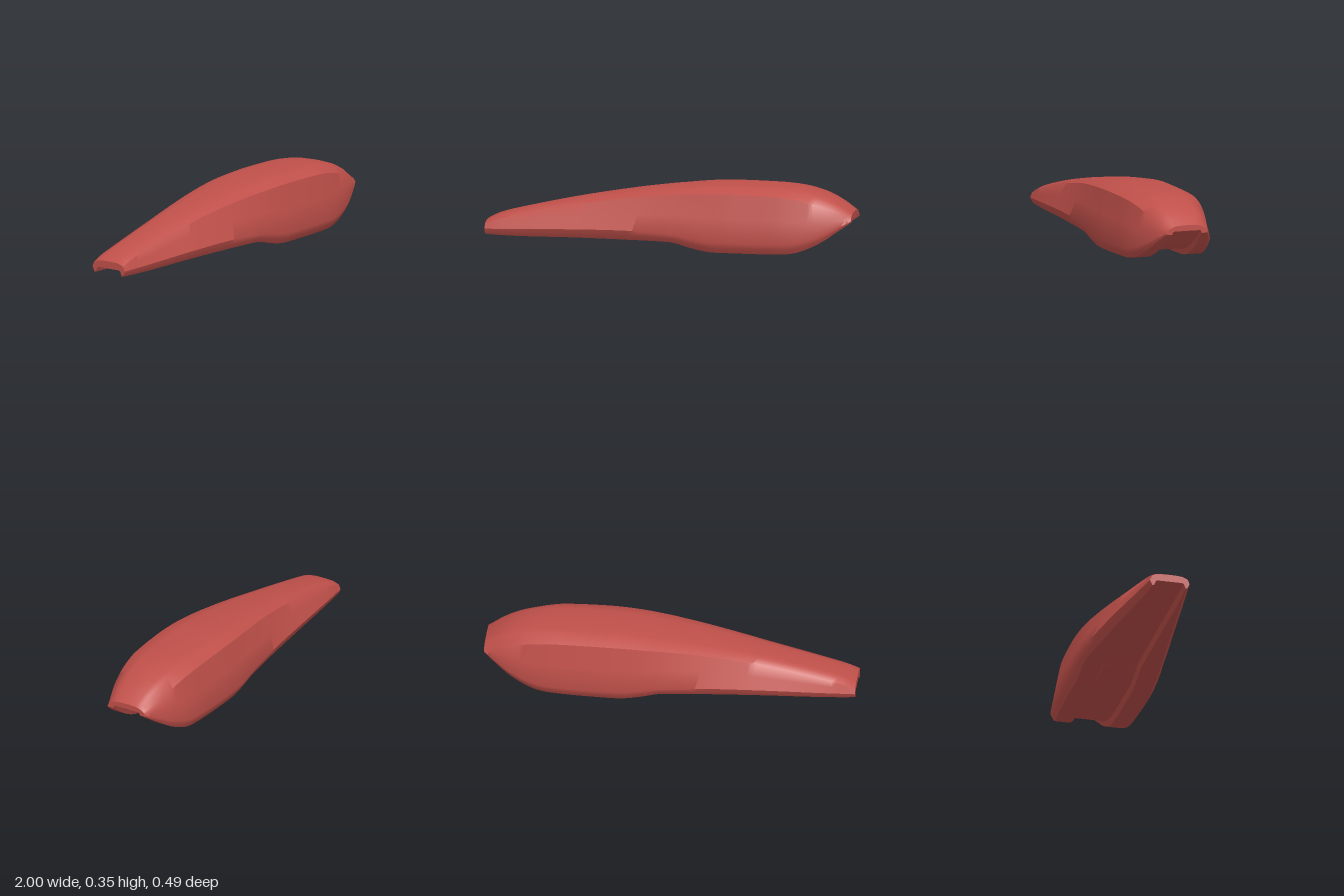
import * as THREE from 'three';
import { toCreasedNormals } from 'three/addons/utils/BufferGeometryUtils.js';

// Stations along the body:
// x, bottom, top, half width, widest height, shoulder half width, shoulder height, groove half width, groove depth
const STATIONS = [
  [-1.0, 0.043, 0.113, 0.109, 0.072, 0.098, 0.098, 0.088, 0.03],
  [-0.94, 0.040, 0.142, 0.117, 0.075, 0.100, 0.121, 0.090, 0.032],
  [-0.8, 0.040, 0.180, 0.135, 0.081, 0.103, 0.157, 0.094, 0.034],
  [-0.5, 0.048, 0.246, 0.173, 0.096, 0.117, 0.222, 0.100, 0.034],
  [-0.2, 0.051, 0.298, 0.208, 0.104, 0.146, 0.274, 0.104, 0.034],
  [0.0, 0.051, 0.325, 0.228, 0.097, 0.170, 0.298, 0.106, 0.034],
  [0.06, 0.045, 0.331, 0.232, 0.092, 0.177, 0.303, 0.106, 0.034],
  [0.14, 0.023, 0.340, 0.237, 0.078, 0.185, 0.309, 0.107, 0.034],
  [0.24, 0.004, 0.349, 0.241, 0.063, 0.191, 0.314, 0.108, 0.034],
  [0.36, 0.002, 0.353, 0.243, 0.060, 0.194, 0.316, 0.108, 0.034],
  [0.6, 0.002, 0.350, 0.235, 0.058, 0.190, 0.309, 0.107, 0.034],
  [0.7, 0.009, 0.343, 0.225, 0.062, 0.181, 0.296, 0.105, 0.034],
  [0.78, 0.035, 0.329, 0.209, 0.080, 0.170, 0.277, 0.102, 0.032],
  [0.86, 0.076, 0.304, 0.186, 0.109, 0.154, 0.253, 0.098, 0.028],
  [0.93, 0.124, 0.268, 0.157, 0.144, 0.134, 0.228, 0.093, 0.022],
  [1.0, 0.172, 0.219, 0.120, 0.179, 0.108, 0.196, 0.085, 0.016],
];

// Smooth (cubic Hermite) reading of every station value at x
function sample(x) {
  const S = STATIONS, last = S.length - 1;
  let i = 0;
  while (i < last - 1 && x > S[i + 1][0]) i++;
  const h = S[i + 1][0] - S[i][0], t = (x - S[i][0]) / h;
  const slope = (n, k) => {
    const a = S[Math.max(n - 1, 0)], b = S[Math.min(n + 1, last)];
    return (b[k] - a[k]) / (b[0] - a[0]);
  };
  return S[i].map((v, k) => {
    const t2 = t * t, t3 = t2 * t;
    return (2 * t3 - 3 * t2 + 1) * v + (t3 - 2 * t2 + t) * h * slope(i, k)
      + (3 * t2 - 2 * t3) * S[i + 1][k] + (t3 - t2) * h * slope(i + 1, k);
  });
}

// Closed cross-section as (z, y) points, starting at the groove centre
function section(x) {
  const [, yb0, yt, w, yc, s, ys, go, g] = sample(x);
  const yb = Math.max(yb0, 0), drop = yc - yb, rise = yt - ys;
  const half = [
    [0, yb + g],                              // groove ceiling
    [go - g * 0.8, yb + g],
    [go - g * 0.4, yb + g * 0.9],
    [go, yb],                                 // rim
    [w - drop * 0.5, yb],
    [w - drop * 0.2, yb + drop * 0.48],       // lower curve
    [w, yc],
    [(w + s) / 2, (yc + ys) / 2],             // side wall
    [s, ys],                                  // shoulder
    [s * 0.7, ys + rise * 0.73],
    [s * 0.5, ys + rise * 0.92],
    [0, yt],                                  // crown
  ];
  const mirrored = half.slice(1, -1).reverse().map(([z, y]) => [-z, y]);
  return [...half, ...mirrored];
}

// Loft the sections along x and close both ends
function bodyGeometry() {
  const steps = 80, positions = [], index = [];
  const rings = [];
  for (let i = 0; i <= steps; i++) {
    const x = -1 + (2 * i) / steps;
    const ring = section(x);
    rings.push(ring);
    for (const [z, y] of ring) positions.push(x, y, z);
  }
  const n = rings[0].length;
  for (let i = 0; i < steps; i++) {
    for (let j = 0; j < n; j++) {
      const k = (j + 1) % n;
      const a = i * n + j, b = a + n, c = (i + 1) * n + k, d = i * n + k;
      index.push(a, b, c, a, c, d);
    }
  }
  const cap = (ring, start, flip) => {
    const contour = ring.map(([z, y]) => new THREE.Vector2(z, y));
    for (const [a, b, c] of THREE.ShapeUtils.triangulateShape(contour, [])) {
      index.push(start + a, start + (flip ? c : b), start + (flip ? b : c));
    }
  };
  cap(rings[0], 0, false);
  cap(rings[steps], steps * n, true);

  const geometry = new THREE.BufferGeometry();
  geometry.setAttribute('position', new THREE.Float32BufferAttribute(positions, 3));
  geometry.setIndex(index);
  return toCreasedNormals(geometry, 0.7);
}

export function createModel() {
  const red = new THREE.MeshStandardMaterial({ color: 0xc0504a });
  red.name = 'mutedRed';

  const group = new THREE.Group();
  group.name = 'taperedCover';
  const body = new THREE.Mesh(bodyGeometry(), red);
  body.name = 'groovedBody';
  group.add(body);
  return group;
}
